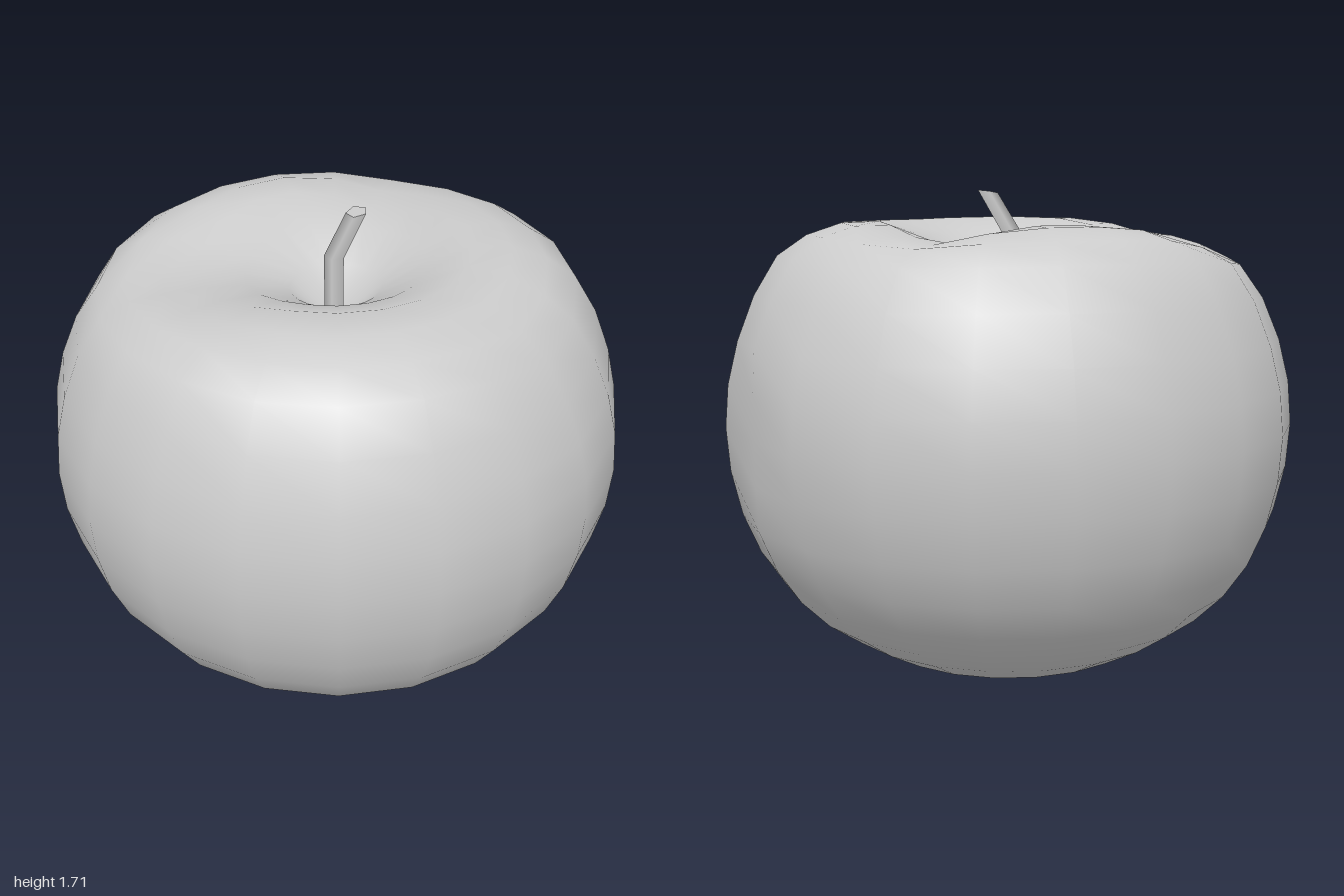
import * as THREE from 'three';
import { mergeVertices } from 'three/addons/utils/BufferGeometryUtils.js';

const material = new THREE.MeshStandardMaterial({ color: 0xcccccc });

// Ring heights from the bottom dimple to the top dimple; ring radii follow a sphere
const heights = [0.06, 0.005, 0.03, 0.08, 0.15, 0.23, 0.33, 0.45, 0.59, 0.745, 0.9,
  1.05, 1.2, 1.355, 1.49, 1.56, 1.6, 1.605, 1.55, 1.46, 1.33];

// Soft hollows in the shoulders: x, z, depth, spread
const hollows = [
  [-0.31, 0.42, 0.1, 0.26],
  [0.02, 0.5, 0.04, 0.18],
  [-0.27, -0.45, 0.07, 0.2],
  [0.78, -0.35, 0.06, 0.25],
];

function createFruit() {
  const rings = heights.length - 1;
  const profile = heights.map((y, i) =>
    new THREE.Vector2(i % rings ? Math.sin((i / rings) * Math.PI) : 0, y));
  let geometry = new THREE.LatheGeometry(profile, 20);

  // Press the hollows into the upper half and flatten the back a little
  const p = geometry.attributes.position;
  for (let i = 0; i < p.count; i++) {
    const x = p.getX(i);
    let y = p.getY(i);
    const z = p.getZ(i) - 0.02;
    const upper = THREE.MathUtils.smoothstep(y, 1, 1.45);
    for (const [hx, hz, depth, spread] of hollows) {
      const d2 = (x - hx) ** 2 + (z - hz) ** 2;
      y -= upper * depth * Math.exp(-d2 / (spread * spread));
    }
    p.setXYZ(i, x, y, Math.max(z, -0.98));
  }

  // Weld the seam for smooth shading all round
  geometry.deleteAttribute('uv');
  geometry.deleteAttribute('normal');
  geometry = mergeVertices(geometry, 1e-4);
  geometry.computeVertexNormals();
  const fruit = new THREE.Mesh(geometry, material);
  fruit.name = 'fruit';
  return fruit;
}

function createStem() {
  const height = 0.405;
  const geometry = new THREE.CylinderGeometry(0.037, 0.035, height, 5, 3, false, Math.PI);
  geometry.translate(0, 1.3 + height / 2, -0.015);

  // Bend the top end backwards and tip its cap
  const p = geometry.attributes.position;
  for (let i = 0; i < p.count; i++) {
    if (p.getY(i) < 1.65) continue;
    const z = p.getZ(i);
    p.setY(i, p.getY(i) - (z + 0.015) * 0.15);
    p.setZ(i, z - 0.09);
  }
  const stem = new THREE.Mesh(geometry, material);
  stem.name = 'stem';
  return stem;
}

export function createModel() {
  const apple = new THREE.Group();
  apple.name = 'apple';
  apple.add(createFruit(), createStem());
  return apple;
}
